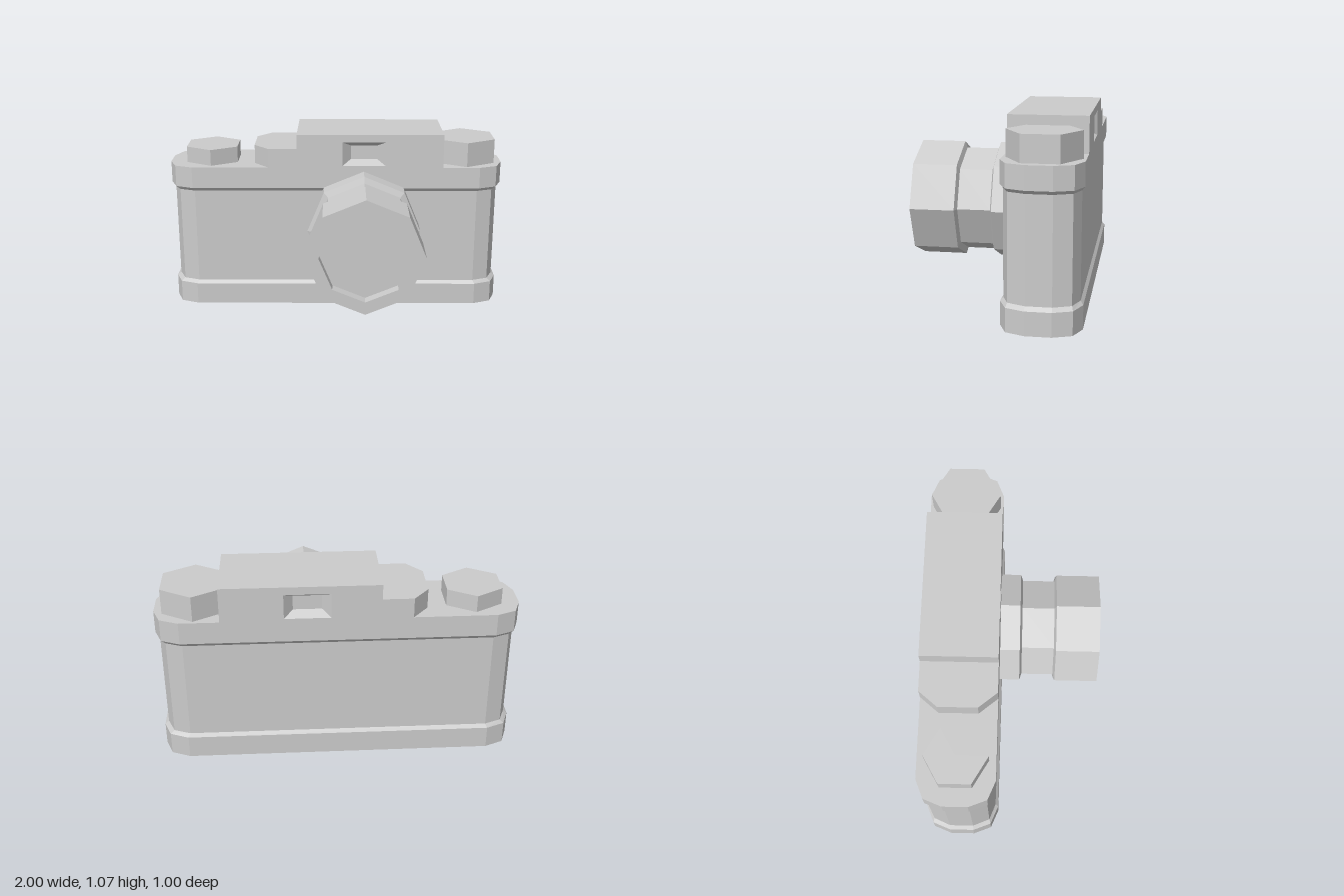
import * as THREE from 'three';

const material = new THREE.MeshStandardMaterial({ color: 0xcccccc, flatShading: true });
const BODY_Z = -0.285, HALF_DEPTH = 0.215;
const COVER_TOP = 0.872, HOUSING_TOP = 1.07;

function addMesh(parent, geometry, name) {
  const mesh = new THREE.Mesh(geometry, material);
  mesh.name = name;
  parent.add(mesh);
  return mesh;
}

// Skin successive convex rings of [x, y, z]; rings run counter-clockwise seen from the direction of travel
function loft(rings, capStart = true, capEnd = true) {
  const positions = [];
  const tri = (a, b, c) => positions.push(...a, ...b, ...c);
  const n = rings[0].length;
  for (let r = 0; r < rings.length - 1; r++) {
    const a = rings[r], b = rings[r + 1];
    for (let i = 0; i < n; i++) {
      const j = (i + 1) % n;
      tri(a[i], a[j], b[j]);
      tri(a[i], b[j], b[i]);
    }
  }
  const first = rings[0], last = rings[rings.length - 1];
  for (let i = 1; i < n - 1; i++) {
    if (capStart) tri(first[0], first[i + 1], first[i]);
    if (capEnd) tri(last[0], last[i], last[i + 1]);
  }
  const geometry = new THREE.BufferGeometry();
  geometry.setAttribute('position', new THREE.Float32BufferAttribute(positions, 3));
  geometry.computeVertexNormals();
  return geometry;
}

// Twelve-sided body outline from one quarter, mirrored; depth is measured from the body's centre line
function bodyRing(y, quarter) {
  const back = [...quarter].reverse();
  const outline = [
    ...back.map(([x, d]) => [x, -d]),
    ...quarter.map(([x, d]) => [-x, -d]),
    ...back.map(([x, d]) => [-x, d]),
    ...quarter.map(([x, d]) => [x, d]),
  ];
  return outline.map(([x, d]) => [x, y, BODY_Z + d]);
}

function rectRing(w, h, z) {
  return [[-w, -h, z], [w, -h, z], [w, h, z], [-w, h, z]];
}

// Finder face from x0 to x1 around a sunken window
function windowPanel(x0, x1, y0, y1) {
  const panel = new THREE.Group();
  const w = 0.127, h = 0.071;
  const shape = new THREE.Shape([[x0, y0], [x1, y0], [x1, y1], [x0, y1]].map(p => new THREE.Vector2(...p)));
  shape.holes.push(new THREE.Path([[-w, -h], [-w, h], [w, h], [w, -h]].map(p => new THREE.Vector2(...p))));
  addMesh(panel, new THREE.ShapeGeometry(shape), 'finderFace');
  addMesh(panel, loft([rectRing(w, h, 0), rectRing(0.078, 0.041, -0.05)], false), 'finderWindow');
  return panel;
}

export function createModel() {
  const model = new THREE.Group();
  model.name = 'camera';

  // Body with wider base plate and top cover
  const outer = [[0.856, HALF_DEPTH], [0.96, 0.172], [1, 0.07]];
  const inner = [[0.845, 0.2], [0.937, 0.165], [0.978, 0.069]];
  addMesh(model, loft([
    bodyRing(0, outer), bodyRing(0.13, outer), bodyRing(0.15, inner),
    bodyRing(0.725, inner), bodyRing(0.745, outer), bodyRing(COVER_TOP, outer),
  ]), 'body');

  // Finder housing
  const housing = new THREE.Group();
  housing.name = 'finderHousing';
  model.add(housing);
  const left = -0.23, right = 0.637, windowX = 0.168, windowY = 0.954;
  const front = BODY_Z + HALF_DEPTH, back = BODY_Z - HALF_DEPTH;
  const housingRing = y => [[right, y, back], [left, y, back], [left, y, front], [right, y, front]];
  addMesh(housing, loft([housingRing(COVER_TOP), housingRing(HOUSING_TOP)], false), 'finderTop');
  // Remove the shell's front and back sides so the sunken windows stay open
  const shell = housing.children[0].geometry;
  const kept = [];
  const pos = shell.attributes.position;
  for (let i = 0; i < pos.count; i += 3) {
    const flat = pos.getZ(i) === pos.getZ(i + 1) && pos.getZ(i) === pos.getZ(i + 2);
    if (!flat) for (let k = i; k < i + 3; k++) kept.push(pos.getX(k), pos.getY(k), pos.getZ(k));
  }
  shell.setAttribute('position', new THREE.Float32BufferAttribute(kept, 3));
  shell.deleteAttribute('normal');
  shell.computeVertexNormals();

  const low = COVER_TOP - windowY, high = HOUSING_TOP - windowY;
  const frontPanel = windowPanel(left - windowX, right - windowX, low, high);
  frontPanel.name = 'frontFinder';
  frontPanel.position.set(windowX, windowY, front);
  const backPanel = windowPanel(windowX - right, windowX - left, low, high);
  backPanel.name = 'backFinder';
  backPanel.position.set(windowX, windowY, back);
  backPanel.rotation.y = Math.PI;
  housing.add(frontPanel, backPanel);

  // Lower step with clipped corners beside the housing
  const stepRing = y => [
    [left, back], [-0.4, back], [-0.487, -0.395], [-0.487, -0.175], [-0.4, front], [left, front],
  ].map(([x, z]) => [x, y, z]);
  addMesh(model, loft([stepRing(COVER_TOP), stepRing(0.985)]), 'housingStep');

  // Six-sided knobs
  for (const [name, x, radius, top] of [['windingKnob', 0.78, 0.199, 1.017], ['rewindKnob', -0.746, 0.176, 0.968]]) {
    const height = top - COVER_TOP;
    const knob = addMesh(model, new THREE.CylinderGeometry(radius, radius, height, 6), name);
    knob.position.set(x, COVER_TOP + height / 2, BODY_Z);
  }

  // Eight-sided lens barrel with a waist and a sunken front glass
  const lensRing = ([radius, z]) => Array.from({ length: 8 }, (_, i) => {
    const a = i * Math.PI / 4;
    return [radius * Math.cos(a), radius * Math.sin(a), z];
  });
  const lens = addMesh(model, loft([
    [0.335, -0.09], [0.335, 0.042], [0.298, 0.054], [0.298, 0.238],
    [0.335, 0.25], [0.335, 0.5], [0.26, 0.5], [0.26, 0.435],
  ].map(lensRing)), 'lens');
  lens.position.set(0.167, 0.513, 0);

  return model;
}
